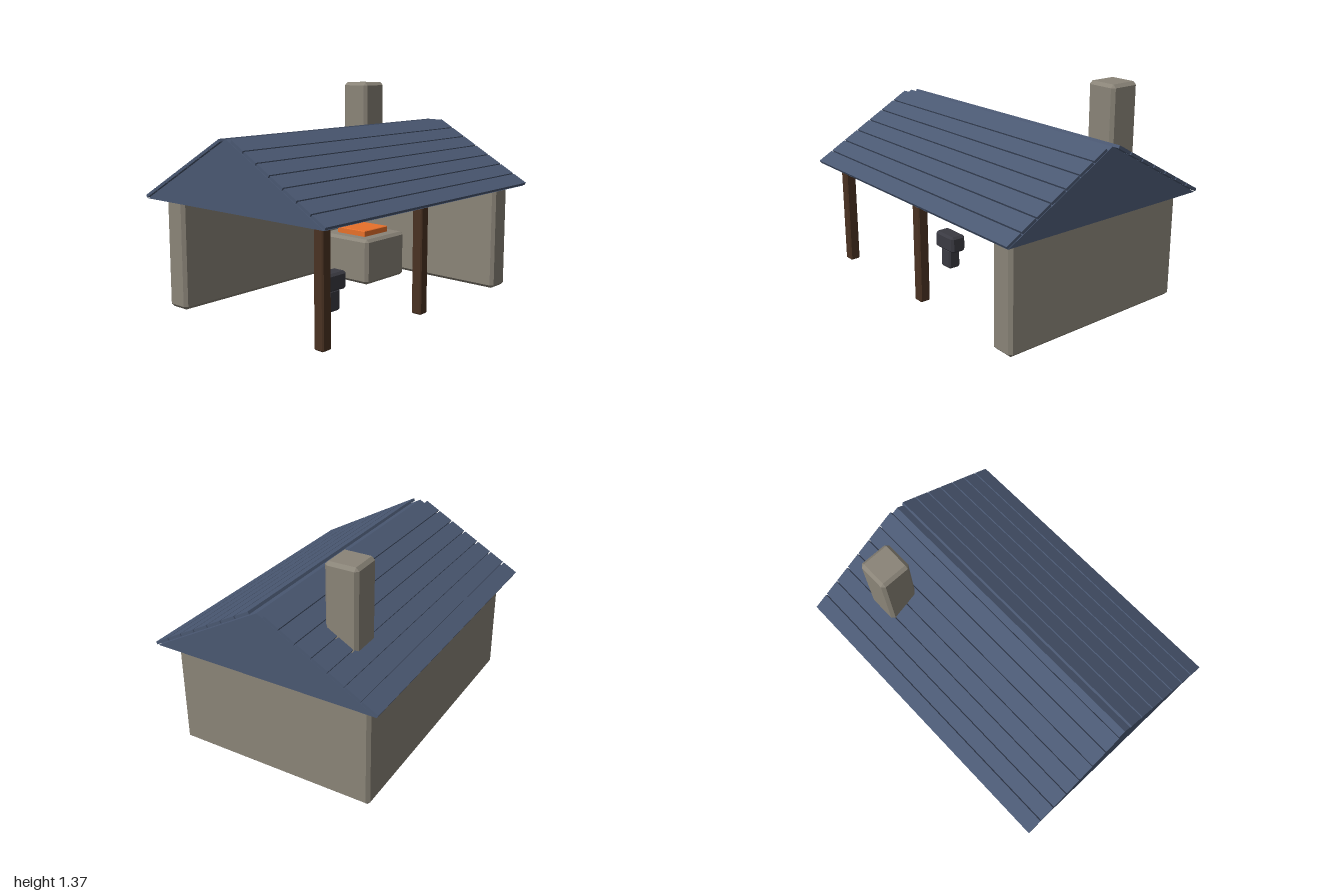
import * as THREE from 'three';
import { ConvexGeometry } from 'three/addons/geometries/ConvexGeometry.js';

const mat = (color) => new THREE.MeshStandardMaterial({ color, flatShading: true });

// Box with chamfered edges, given by its [min, max] extents
function chamferBox(name, material, [x0, x1], [y0, y1], [z0, z1], bevel) {
  const half = [(x1 - x0) / 2, (y1 - y0) / 2, (z1 - z0) / 2];
  const points = [];
  for (const sx of [-1, 1]) for (const sy of [-1, 1]) for (const sz of [-1, 1]) {
    // each corner becomes three points, one on each adjoining face
    for (let face = 0; face < 3; face++) {
      const c = half.map((h, i) => (i === face ? h : h - bevel));
      points.push(new THREE.Vector3(sx * c[0], sy * c[1], sz * c[2]));
    }
  }
  const mesh = new THREE.Mesh(new ConvexGeometry(points), material);
  mesh.name = name;
  mesh.position.set((x0 + x1) / 2, (y0 + y1) / 2, (z0 + z1) / 2);
  return mesh;
}

export function createModel() {
  const model = new THREE.Group();
  model.name = 'openForge';

  const stone = mat(0x8a8478);
  const slate = mat(0x4a5872);
  const wood = mat(0x4a3222);
  const iron = mat(0x3a3a42);
  const ember = mat(0xe8702a);

  // Stone walls on the back and left sides
  model.add(chamferBox('backWall', stone, [-0.92, 0.92], [0, 0.69], [-0.66, -0.5], 0.02));
  model.add(chamferBox('leftWall', stone, [0.76, 0.92], [0, 0.69], [-0.54, 0.66], 0.02));

  // Timber posts holding up the open front
  for (const x of [-0.87, 0]) {
    model.add(chamferBox('post', wood, [x - 0.035, x + 0.035], [0, 0.69], [0.575, 0.645], 0.008));
  }

  // Solid gabled roof
  const eaveY = 0.69, ridgeY = 1.105, eaveZ = 0.74;
  const gable = new THREE.Shape([
    new THREE.Vector2(-eaveZ, eaveY),
    new THREE.Vector2(eaveZ, eaveY),
    new THREE.Vector2(0, ridgeY),
  ]);
  const roofGeometry = new THREE.ExtrudeGeometry(gable, { depth: 1.99, bevelEnabled: false });
  roofGeometry.translate(0, 0, -0.995).rotateY(Math.PI / 2);
  const roof = new THREE.Mesh(roofGeometry, slate);
  roof.name = 'roof';
  model.add(roof);

  // Seven rows of slates floating just above each slope
  const slope = (ridgeY - eaveY) / eaveZ;
  const slateGeometry = new THREE.BoxGeometry(2, 0.018, 0.107);
  for (const side of [-1, 1]) {
    for (let i = 0; i < 7; i++) {
      const z = 0.095 + i * 0.1015;
      const row = new THREE.Mesh(slateGeometry, slate);
      row.name = 'slateRow';
      row.position.set(0, ridgeY - slope * z + 0.0185, side * z);
      row.rotation.x = side * Math.atan(slope);
      model.add(row);
    }
  }

  // Chimney passing through the back slope
  model.add(chamferBox('chimney', stone, [0.525, 0.735], [0.635, 1.37], [-0.475, -0.265], 0.02));

  // Hearth with glowing coals
  model.add(chamferBox('hearth', stone, [0.265, 0.68], [0, 0.315], [-0.46, -0.03], 0.02));
  model.add(chamferBox('coals', ember, [0.345, 0.6], [0.29, 0.355], [-0.37, -0.12], 0.004));

  // Anvil
  const anvil = new THREE.Group();
  anvil.name = 'anvil';
  anvil.add(chamferBox('anvilStem', iron, [-0.37, -0.27], [0, 0.14], [0.115, 0.205], 0.012));
  anvil.add(chamferBox('anvilHead', iron, [-0.42, -0.22], [0.13, 0.245], [0.105, 0.215], 0.015));
  model.add(anvil);

  return model;
}
